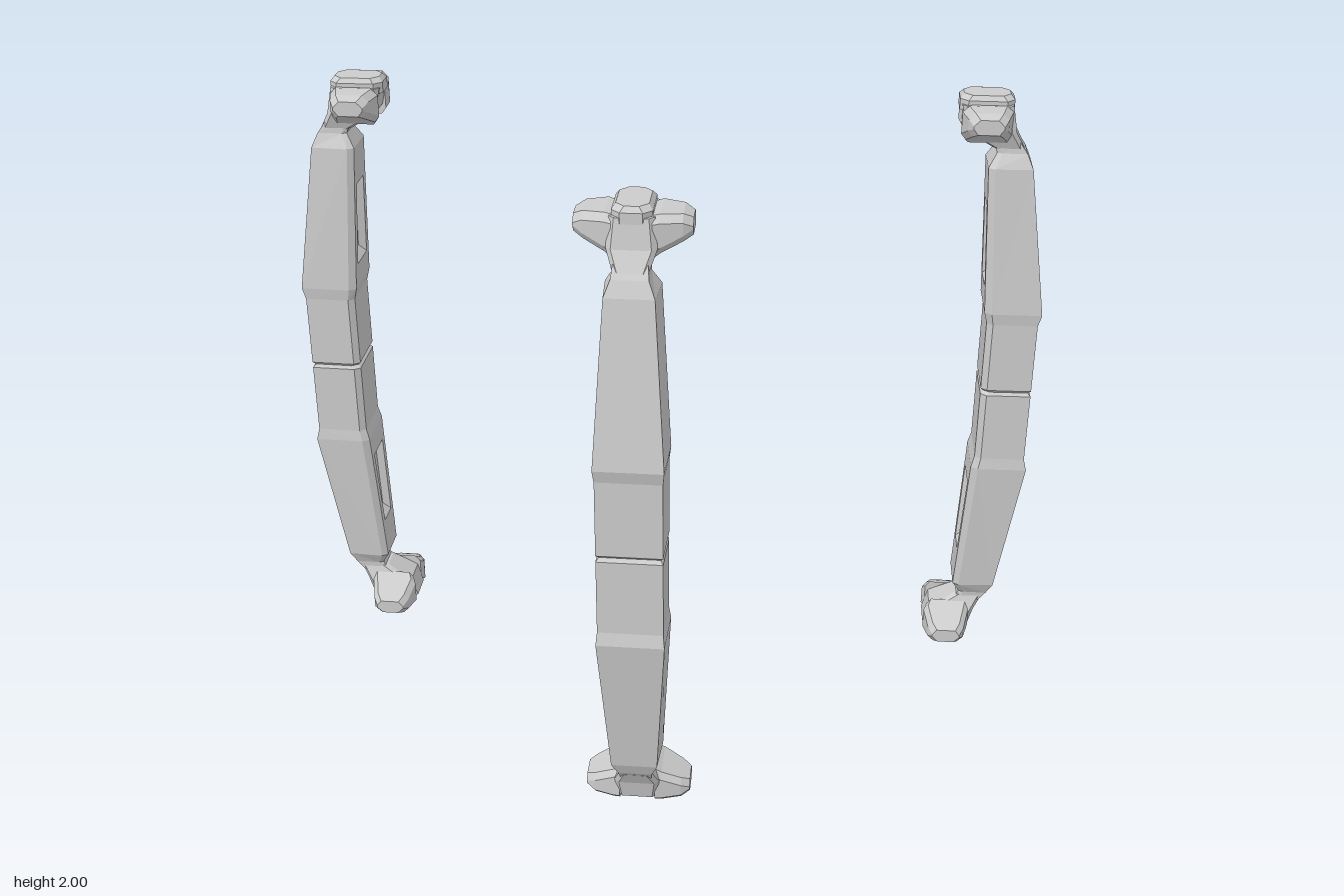
import * as THREE from 'three';

const MID = 0.99; // height of the joint between the mirrored halves
const material = new THREE.MeshStandardMaterial({ color: 0xcccccc, flatShading: true });

// Skin a list of closed rings (arrays of Vector3) with quads and capped ends.
// pocket = { row, side, map } replaces one quad by a sunken panel.
function loft(rings, pocket) {
  const tris = [];
  const quad = (a, b, c, d) => tris.push(a, b, c, a, c, d);
  const n = rings[0].length;
  for (let r = 0; r < rings.length - 1; r++) {
    for (let i = 0; i < n; i++) {
      const j = (i + 1) % n;
      const q = [rings[r][i], rings[r][j], rings[r + 1][j], rings[r + 1][i]];
      if (pocket && pocket.row === r && pocket.side === i) sink(q, pocket, quad);
      else quad(...q);
    }
  }
  const first = rings[0], last = rings[rings.length - 1];
  for (let i = 1; i < n - 1; i++) {
    tris.push(first[0], first[i + 1], first[i]);
    tris.push(last[0], last[i], last[i + 1]);
  }
  // Turn the faces outwards if the rings ran the other way.
  let volume = 0;
  const cross = new THREE.Vector3();
  for (let i = 0; i < tris.length; i += 3) volume += tris[i].dot(cross.crossVectors(tris[i + 1], tris[i + 2]));
  if (volume < 0) for (let i = 0; i < tris.length; i += 3) [tris[i + 1], tris[i + 2]] = [tris[i + 2], tris[i + 1]];
  const geometry = new THREE.BufferGeometry().setFromPoints(tris);
  geometry.computeVertexNormals();
  return geometry;
}

// Frame, walls and floor of a sunken panel inside quad q.
function sink(q, { map, depth }, quad) {
  const at = ([s, t]) => q[0].clone().lerp(q[1], s).lerp(q[3].clone().lerp(q[2], s), t);
  const rim = map.map(at);
  const mid = rim.reduce((sum, p) => sum.add(p), new THREE.Vector3()).divideScalar(4);
  const floor = rim.map((p) => p.clone().lerp(mid, 0.18).add(new THREE.Vector3(0, 0, depth)));
  for (let i = 0; i < 4; i++) {
    const j = (i + 1) % 4;
    quad(q[i], q[j], rim[j], rim[i]);
    quad(rim[i], rim[j], floor[j], floor[i]);
  }
  quad(...floor);
}

// Half of a pillar, local +z pointing outwards; the lower half is flipped.
function pillarHalf(upper) {
  const half = new THREE.Group();
  half.name = upper ? 'upperHalf' : 'lowerHalf';
  const P = (x, y, z) => new THREE.Vector3(x, upper ? y : 2 * MID - y, z);
  const add = (name, rings, pocket) => {
    const mesh = new THREE.Mesh(loft(rings, pocket), material);
    mesh.name = name;
    half.add(mesh);
  };

  // Shaft: y, outer z, outer half width, widest z, half width, inner z, half width
  const shaft = [
    [MID, 1.21, 0.088, 1.085, 0.092, 1.065, 0.078],
    [MID + 0.01, 1.22, 0.096, 1.075, 0.1, 1.055, 0.085],
    [1.24, 1.22, 0.096, 1.075, 0.1, 1.055, 0.085],
    [1.28, 1.23, 0.1, 1.068, 0.105, 1.045, 0.09],
    [1.77, 1.16, 0.07, 1.04, 0.078, 1.02, 0.065],
    [1.815, 1.14, 0.052, 1.06, 0.052, 1.045, 0.045],
    [1.85, 1.115, 0.048, 1.05, 0.05, 1.03, 0.045],
  ].map(([y, zo, wo, zm, wm, zi, wi]) => [
    P(wo, y, zo), P(wm, y, zm), P(wi, y, zi), P(-wi, y, zi), P(-wm, y, zm), P(-wo, y, zo),
  ]);
  add('shaft', shaft, {
    row: 3, side: 2, depth: 0.025,
    map: [[0.16, 0.16], [0.84, 0.16], [0.8, 0.73], [0.2, 0.73]],
  });

  // Hub between neck and arms: y, half width, inner z, outer z
  const hubEnd = upper ? 1.97 : 1.95;
  const slab = (rows, cut) => rows.map(([y, w, zi, zo]) => [
    P(w - cut, y, zo), P(w, y, zo - cut), P(w, y, zi + cut), P(w - cut, y, zi),
    P(cut - w, y, zi), P(-w, y, zi + cut), P(-w, y, zo - cut), P(cut - w, y, zo),
  ]);
  add('hub', slab([
    [1.83, 0.05, 1.03, 1.13],
    [1.885, 0.07, 0.945, 1.1],
    [hubEnd, 0.062, 0.925, 1.085],
  ], 0.015));

  // Block on the top end only
  if (upper) {
    add('topBlock', slab([
      [1.95, 0.056, 0.918, 1.088],
      [1.985, 0.056, 0.918, 1.088],
      [2, 0.045, 0.93, 1.075],
    ], 0.025));
  }

  // Tapered side arms: x, bottom y, top y, inner z, outer z
  for (const side of [1, -1]) {
    add(side > 0 ? 'leftArm' : 'rightArm', [
      [0.055, 1.85, 1.972, 0.935, 1.085],
      [0.075, 1.865, 1.975, 0.925, 1.08],
      [0.135, 1.895, 1.972, 0.94, 1.065],
      [0.162, 1.91, 1.958, 0.955, 1.05],
    ].map(([x, yb, yt, zi, zo]) => [
      P(side * x, yb, zi + 0.015), P(side * x, yb + 0.02, zi), P(side * x, yt - 0.02, zi),
      P(side * x, yt, zi + 0.02), P(side * x, yt, zo - 0.02), P(side * x, yt - 0.02, zo),
      P(side * x, yb + 0.02, zo), P(side * x, yb, zo - 0.015),
    ]));
  }
  return half;
}

export function createModel() {
  const model = new THREE.Group();
  model.name = 'cornerPillars';
  // Three pillars, each facing outwards along a diagonal
  const corners = { frontLeftPillar: 45, frontRightPillar: -45, backLeftPillar: 135 };
  for (const [name, degrees] of Object.entries(corners)) {
    const pillar = new THREE.Group();
    pillar.name = name;
    pillar.add(pillarHalf(true), pillarHalf(false));
    pillar.rotation.y = THREE.MathUtils.degToRad(degrees);
    model.add(pillar);
  }
  return model;
}
